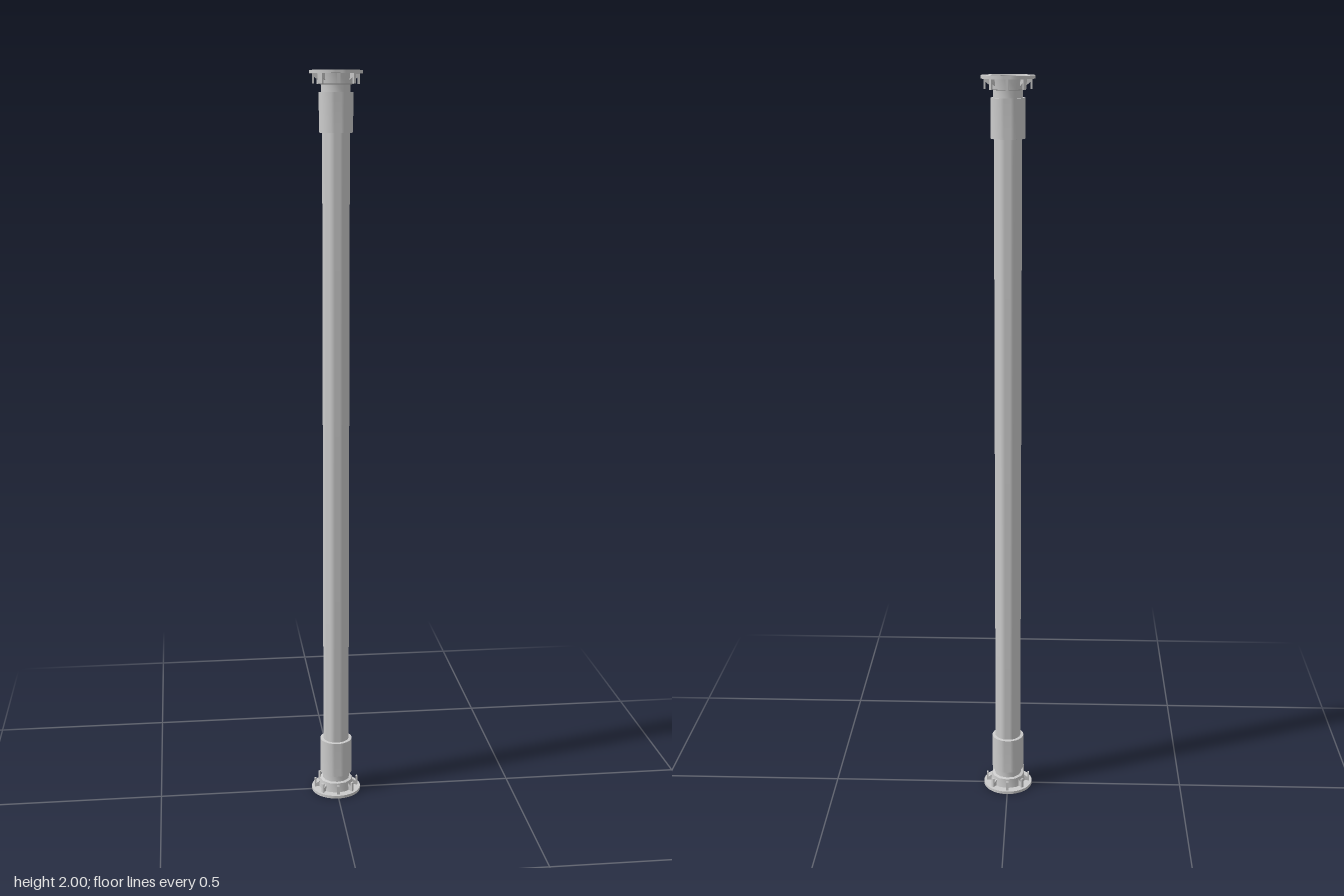
import * as THREE from 'three';
import { toCreasedNormals } from 'three/addons/utils/BufferGeometryUtils.js';

const material = new THREE.MeshStandardMaterial({ color: 0xcccccc });

function addPart(parent, name, geometry) {
  const mesh = new THREE.Mesh(toCreasedNormals(geometry, 0.6), material);
  mesh.name = name;
  parent.add(mesh);
  return mesh;
}

function lathe(points, sides) {
  return new THREE.LatheGeometry(points.map(([r, y]) => new THREE.Vector2(r, y)), sides);
}

// Flat ring with a round rim and a twelve-sided opening
function flangeGeometry() {
  const shape = new THREE.Shape().absarc(0, 0, 0.069, 0, Math.PI * 2);
  const hole = [];
  for (let i = 0; i < 12; i++) {
    const a = (i / 12) * Math.PI * 2;
    hole.push(new THREE.Vector2(0.047 * Math.cos(a), 0.047 * Math.sin(a)));
  }
  shape.holes.push(new THREE.Path(hole));
  const geo = new THREE.ExtrudeGeometry(shape, { depth: 0.008, bevelEnabled: false, curveSegments: 24 });
  return geo.rotateX(-Math.PI / 2);
}

// One end of the pole, with its flange face on y = 0
function makeEnd(name) {
  const end = new THREE.Group();
  end.name = name;
  addPart(end, 'flange', flangeGeometry());

  // Cup behind the opening: deep floor, stepped wall and neck
  addPart(end, 'socket', lathe([
    [0, 0.034], [0.041, 0.034], [0.0445, 0.006], [0.049, 0.006],
    [0.046, 0.034], [0.038, 0.036], [0.038, 0.057],
  ], 12));

  // Sleeve that grips the tube
  addPart(end, 'collar', lathe([
    [0, 0.055], [0.0445, 0.055], [0.0445, 0.156], [0.034, 0.157],
  ], 32));

  // Upright clips near the rim and thin webs against the cup
  const count = 8;
  for (let i = 0; i < count; i++) {
    const station = new THREE.Group();
    station.name = 'fixing';
    station.rotation.y = (i / count) * Math.PI * 2;
    end.add(station);

    const clip = addPart(station, 'clip', new THREE.BoxGeometry(0.005, 0.028, 0.008));
    clip.position.set(0.059, 0.02, 0);

    const profile = new THREE.Shape([
      new THREE.Vector2(0.045, 0.007), new THREE.Vector2(0.06, 0.007),
      new THREE.Vector2(0.06, 0.014), new THREE.Vector2(0.045, 0.026),
    ]);
    const webGeo = new THREE.ExtrudeGeometry(profile, { depth: 0.003, bevelEnabled: false });
    addPart(station, 'web', webGeo.translate(0, 0, -0.0015));
  }
  return end;
}

export function createModel() {
  const model = new THREE.Group();
  model.name = 'flangedPole';

  const tube = addPart(model, 'tube', new THREE.CylinderGeometry(0.036, 0.036, 1.8, 32));
  tube.position.y = 1;

  const bottom = makeEnd('bottomEnd');
  const top = makeEnd('topEnd');
  top.position.y = 2;
  top.rotation.x = Math.PI;
  model.add(bottom, top);
  return model;
}
